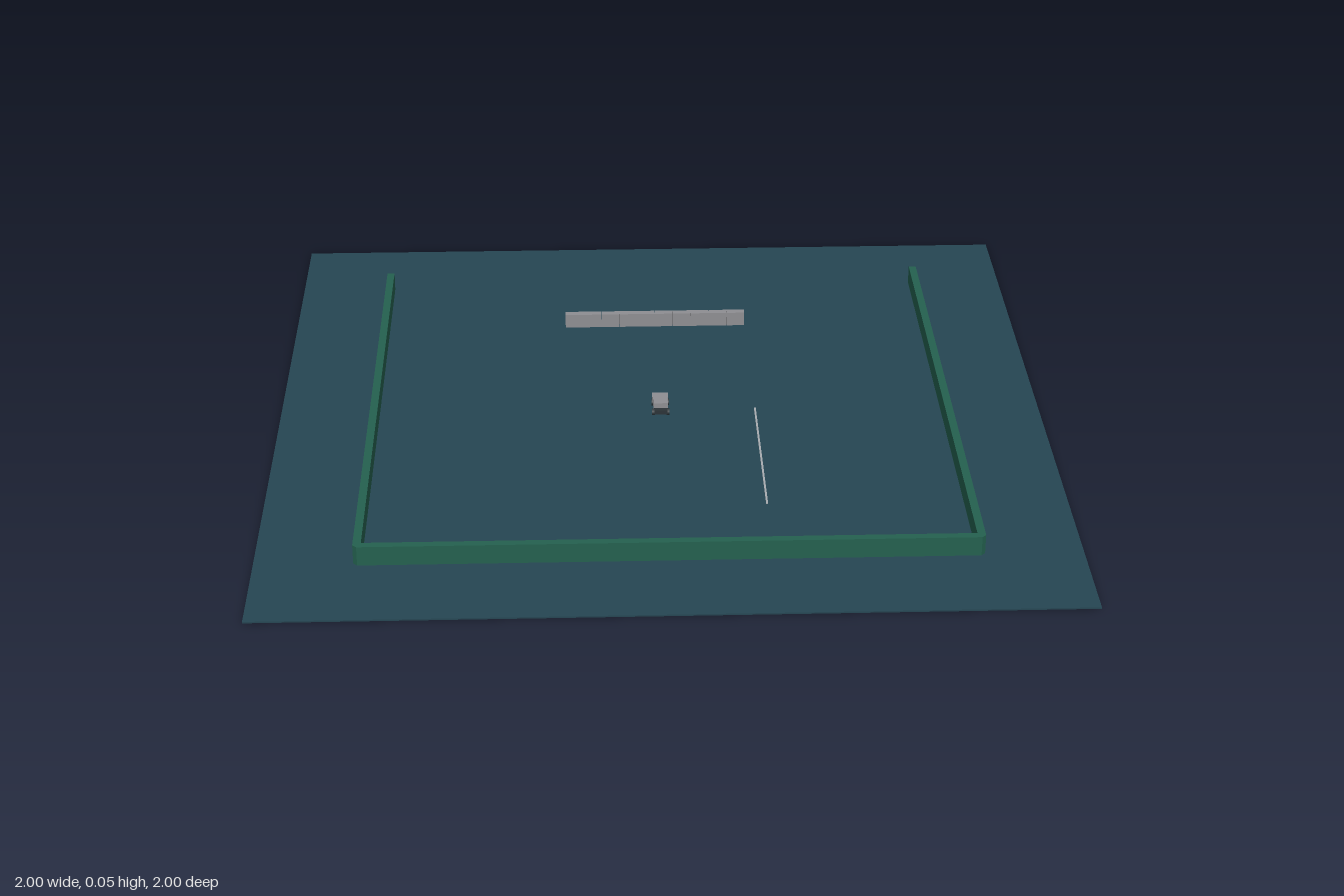
import * as THREE from 'three';

const mat = (name, color, side = THREE.FrontSide) => {
  const m = new THREE.MeshStandardMaterial({ color, side });
  m.name = name;
  return m;
};

export function createModel() {
  const model = new THREE.Group();
  model.name = 'arena';
  const slate = mat('slate ground', 0x264653);
  const green = mat('green wall', 0x24614f);
  const grey = mat('grey', 0x8e8e92);
  const pale = mat('pale grey', 0xa8acb0);
  const dark = mat('dark grey', 0x2c3438);

  const add = (name, geometry, material, x, y, z, parent = model) => {
    const mesh = new THREE.Mesh(geometry, material);
    mesh.name = name;
    mesh.position.set(x, y, z);
    parent.add(mesh);
    return mesh;
  };
  const box = (name, material, w, h, d, x, y, z, parent) =>
    add(name, new THREE.BoxGeometry(w, h, d), material, x, y + h / 2, z, parent);

  // thin square ground
  box('ground', slate, 2, 0.004, 2, 0, 0, 0);

  // three-sided boundary wall, open at the back, with cut outer corners
  const outline = [
    [-0.76, 0.75], [-0.76, -0.75], [-0.75, -0.76], [0.75, -0.76], [0.76, -0.75], [0.76, 0.75],
    [0.74, 0.75], [0.74, -0.74], [-0.74, -0.74], [-0.74, 0.75],
  ].map(([x, y]) => new THREE.Vector2(x, y));
  const wall = new THREE.ExtrudeGeometry(new THREE.Shape(outline), { depth: 0.053, bevelEnabled: false });
  wall.rotateX(-Math.PI / 2);
  add('boundaryWall', wall, green, 0, 0.002, 0);

  // low barrier of equal blocks near the back
  const barrier = new THREE.Group();
  barrier.name = 'barrier';
  model.add(barrier);
  for (let i = 0; i < 10; i++) {
    box('barrierBlock', grey, 0.0495, 0.04, 0.02, -0.225 + i * 0.05, 0.003, -0.5, barrier);
  }

  // painted line on the ground
  box('groundLine', pale, 0.005, 0.003, 0.5, 0.25, 0.003, 0.25);

  // small vehicle in the middle
  const vehicle = new THREE.Group();
  vehicle.name = 'vehicle';
  model.add(vehicle);
  box('chassis', dark, 0.034, 0.012, 0.08, 0, 0.01, -0.002, vehicle);
  box('rearBody', grey, 0.042, 0.016, 0.026, 0, 0.016, -0.031, vehicle);
  box('cabin', grey, 0.038, 0.02, 0.036, 0, 0.016, 0.006, vehicle);
  const wheel = new THREE.CylinderGeometry(0.009, 0.009, 0.008, 12).rotateZ(Math.PI / 2);
  for (const x of [-0.019, 0.019]) {
    for (const z of [-0.026, 0.028]) add('wheel', wheel, dark, x, 0.013, z, vehicle);
  }
  return model;
}
